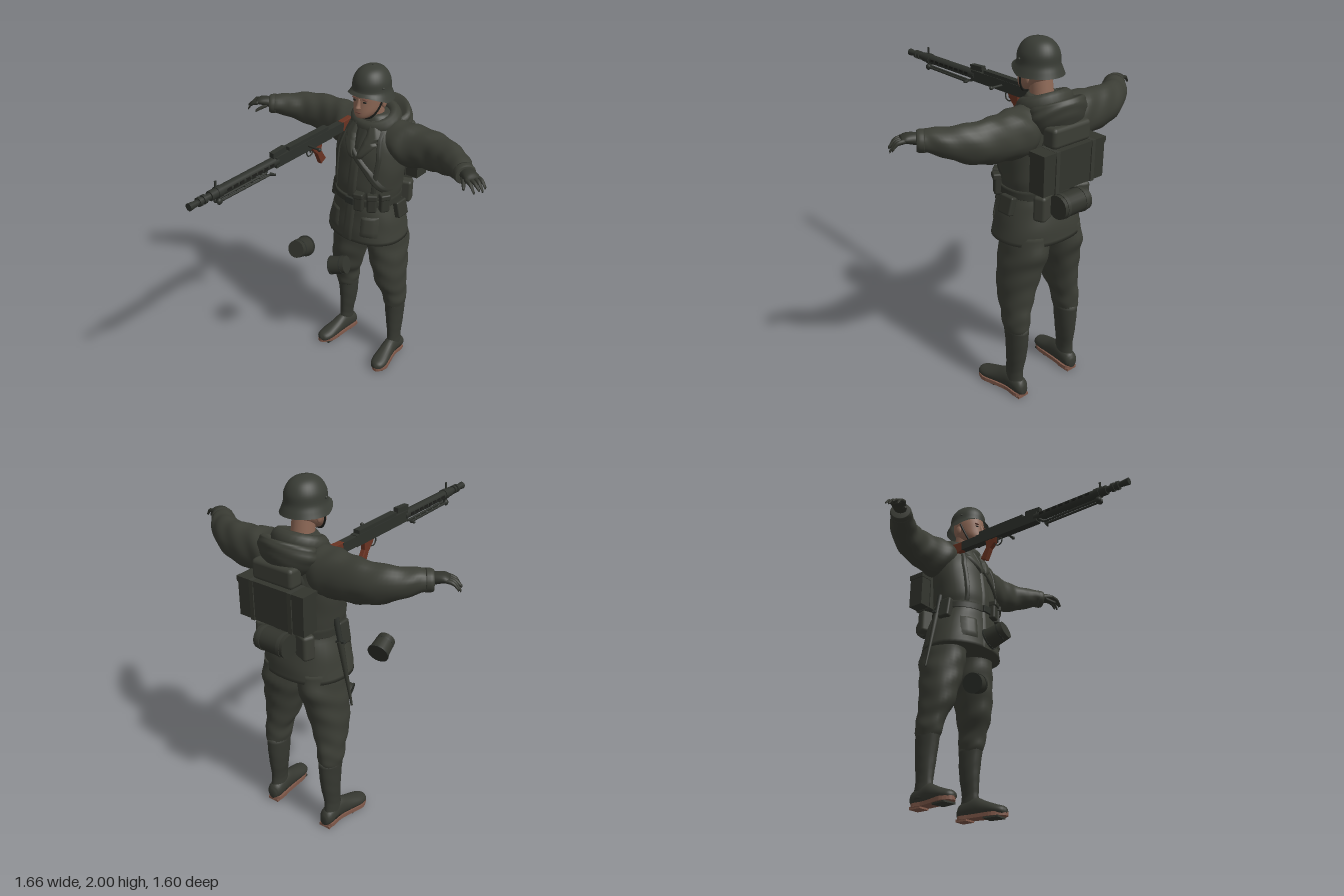
import * as THREE from 'three';
import { RoundedBoxGeometry } from 'three/addons/geometries/RoundedBoxGeometry.js';

const V = (x, y, z) => new THREE.Vector3(x, y, z);
const mat = (name, color) => Object.assign(new THREE.MeshStandardMaterial({ color }), { name });

// Smooth curves through section rows [x, y, z, radiusU, radiusV]
function curves(secs) {
  const curve = (f) => new THREE.CatmullRomCurve3(secs.map(f), false, 'catmullrom', 0.5);
  return [curve((s) => V(s[0], s[1], s[2])), curve((s) => V(s[3], s[4], 0))];
}
const spow = (v, p) => Math.sign(v) * Math.abs(v) ** p;

// Skin over sections: 'up' keeps rings level, 'flat' keeps rings upright across the path
function loft(secs, { mode = 'up', n = 24, m = 4, pow = 1, folds = 0, cap = true } = {}) {
  const [P, R] = curves(secs), rows = (secs.length - 1) * m, pos = [], idx = [];
  for (let i = 0; i <= rows; i++) {
    const t = i / rows, c = P.getPoint(t), r = R.getPoint(t);
    const v = mode === 'up' ? V(0, 0, 1) : V(0, 1, 0);
    const w = P.getTangent(t).setY(0).normalize();
    const u = mode === 'up' ? V(1, 0, 0) : w.cross(v).normalize();
    for (let j = 0; j < n; j++) {
      const a = (j / n) * Math.PI * 2;
      const k = 1 + folds * (Math.sin(t * 34 + 2 * Math.sin(a * 2 + 1)) + 0.6 * Math.sin(a * 5 + t * 9));
      const p = c.clone().addScaledVector(u, r.x * k * spow(Math.cos(a), pow)).addScaledVector(v, r.y * k * spow(Math.sin(a), pow));
      pos.push(p.x, p.y, p.z);
      if (i < rows) {
        const A = i * n + j, B = i * n + (j + 1) % n;
        idx.push(A, A + n, B, B, A + n, B + n);
      }
    }
  }
  if (cap) {
    const c0 = pos.length / 3, a = P.getPoint(0), b = P.getPoint(1), last = rows * n;
    pos.push(a.x, a.y, a.z, b.x, b.y, b.z);
    for (let j = 0; j < n; j++) {
      const k = (j + 1) % n;
      idx.push(c0, j, k, c0 + 1, last + k, last + j);
    }
  }
  const g = new THREE.BufferGeometry();
  g.setAttribute('position', new THREE.Float32BufferAttribute(pos, 3));
  g.setIndex(idx);
  g.computeVertexNormals();
  return g;
}

const TORSO = [
  [0, 0.95, -0.49, 0.25, 0.208], [0, 1.05, -0.49, 0.235, 0.198], [0, 1.15, -0.485, 0.207, 0.183],
  [0, 1.22, -0.48, 0.192, 0.168], [0, 1.30, -0.478, 0.207, 0.168], [0, 1.42, -0.487, 0.218, 0.16],
  [0, 1.52, -0.50, 0.215, 0.153], [0, 1.60, -0.52, 0.19, 0.138], [0, 1.67, -0.525, 0.135, 0.108], [0, 1.72, -0.52, 0.085, 0.08],
];
const TP = 0.9;

export function createModel() {
  const root = new THREE.Group();
  const cloth = mat('field cloth', 0x3b3d35), gear = mat('dark gear', 0x32342d), boot = mat('boot leather', 0x363831);
  const steel = mat('gun steel', 0x2d302b), shell = mat('helmet paint', 0x393c35), skin = mat('skin', 0x8c6755);
  const lip = mat('lips', 0x70483d), wood = mat('red wood', 0x6a3322), soleM = mat('sole', 0x80594a), black = mat('near black', 0x1d1e1b);
  cloth.side = shell.side = gear.side = THREE.DoubleSide;

  const add = (name, geo, m, parent = root, p = [0, 0, 0], r = [0, 0, 0]) => {
    const o = new THREE.Mesh(geo, m);
    o.name = name; o.position.set(...p); o.rotation.set(...r);
    parent.add(o);
    return o;
  };
  const group = (name, parent = root) => { const g = new THREE.Group(); g.name = name; parent.add(g); return g; };
  const box = (name, m, p, s, parent = root, r) => add(name, new THREE.BoxGeometry(...s), m, parent, p, r);
  const soft = (name, m, p, s, parent = root, r) => add(name, new RoundedBoxGeometry(...s, 2, Math.min(...s) * 0.25), m, parent, p, r);
  const ball = (name, m, p, s, parent = root) => { const o = add(name, new THREE.SphereGeometry(1, 16, 10), m, parent, p); o.scale.set(...s); return o; };
  // Cylinder from a to b
  const rod = (name, m, a, b, ra, rb = ra, parent = root, seg = 16) => {
    const A = V(...a), B = V(...b), d = B.clone().sub(A);
    const o = add(name, new THREE.CylinderGeometry(rb, ra, d.length(), seg), m, parent);
    o.position.copy(A).add(B).multiplyScalar(0.5);
    o.quaternion.setFromUnitVectors(V(0, 1, 0), d.normalize());
    return o;
  };

  // Cloth patch laid on the jacket: rows of [y, x0, x1]
  const [TC, TR] = curves(TORSO);
  const jacketZ = (x, y, side, off) => {
    let lo = 0, hi = 1;
    for (let i = 0; i < 20; i++) { const t = (lo + hi) / 2; if (TC.getPoint(t).y < y) lo = t; else hi = t; }
    const c = TC.getPoint(lo), r = TR.getPoint(lo), k = Math.min(1, Math.abs(x) / r.x) ** (1 / TP);
    return c.z + side * (r.y * Math.sqrt(1 - k * k) ** TP + off);
  };
  const patch = (name, m, rows, side = 1, lift = 0.011) => {
    const pos = [], idx = [], N = 6, M = (rows.length - 1) * 5;
    for (let i = 0; i <= M; i++) {
      const k = Math.min(rows.length - 2, Math.floor(i / 5)), f = i / 5 - k;
      const [y, x0, x1] = rows[k].map((v, q) => v + (rows[k + 1][q] - v) * f);
      for (let j = 0; j <= N; j++) {
        const x = x0 + ((x1 - x0) * j) / N, rim = i === 0 || i === M || j === 0 || j === N;
        pos.push(x, y, jacketZ(x, y, side, rim ? 0.001 : lift));
        if (i < M && j < N) { const a = i * (N + 1) + j, b = a + N + 1; idx.push(a, b, a + 1, a + 1, b, b + 1); }
      }
    }
    const g = new THREE.BufferGeometry();
    g.setAttribute('position', new THREE.Float32BufferAttribute(pos, 3));
    g.setIndex(idx); g.computeVertexNormals();
    return add(name, g, m);
  };

  // Jacket, collar and hood
  add('jacket', loft(TORSO, { n: 40, m: 5, pow: TP, folds: 0.009 }), cloth);
  patch('frontFlap', cloth, [[1.5, -0.03, 0.03], [1.26, -0.03, 0.035], [1.2, -0.03, 0.035], [0.955, -0.04, 0.03]], 1, 0.008);
  patch('shirt', gear, [[1.69, -0.05, 0.05], [1.53, -0.012, 0.012]], 1, 0.008);
  for (const s of [-1, 1]) {
    patch('lapel', cloth, [[1.69, s * 0.03, s * 0.075], [1.61, s * 0.035, s * 0.125], [1.585, s * 0.028, s * 0.1], [1.57, s * 0.025, s * 0.115], [1.47, 0, s * 0.03]], 1, 0.016);
    patch('skirtPocket', cloth, [[1.13, s * 0.08, s * 0.17], [1.09, s * 0.08, s * 0.175], [1.0, s * 0.08, s * 0.18]]);
    patch('harnessBack', gear, [[1.65, s * 0.05, s * 0.08], [1.5, s * 0.09, s * 0.12], [1.23, s * 0.09, s * 0.12]], -1);
    patch('harnessFront', gear, [[1.64, s * 0.1, s * 0.125], [1.5, s * 0.13, s * 0.155], [1.24, s * 0.12, s * 0.145]]);
  }
  patch('slingStrap', gear, [[1.57, -0.12, -0.06], [1.42, 0.06, 0.12], [1.3, 0.17, 0.205]], 1, 0.014);
  const ring = add('hoodCollar', new THREE.TorusGeometry(0.102, 0.036, 10, 28), cloth, root, [0, 1.675, -0.525], [Math.PI / 2 + 0.35, 0, 0]);
  ring.scale.set(1.12, 1, 1.3);
  const hood = loft([[0, 1.5, -0.64, 0.07, 0.05], [0, 1.57, -0.645, 0.14, 0.085], [0, 1.63, -0.635, 0.178, 0.11], [0, 1.68, -0.625, 0.172, 0.118],
    [0, 1.705, -0.62, 0.145, 0.1], [0, 1.68, -0.6, 0.1, 0.07], [0, 1.65, -0.59, 0.05, 0.04]], { n: 32, folds: 0.018 });
  const hp = hood.attributes.position;
  for (let i = 0; i < hp.count; i++) {
    const back = Math.max(-0.12, -0.62 - hp.getZ(i));
    hp.setY(i, hp.getY(i) + 0.4 * back);
    hp.setX(i, hp.getX(i) * (1 - Math.max(0, back) * 2.2));
  }
  hood.computeVertexNormals();
  add('hood', hood, cloth);

  // Head
  const head = group('head');
  add('face', loft([[0, 1.715, -0.4, 0.022, 0.03], [0, 1.725, -0.405, 0.045, 0.05], [0, 1.755, -0.43, 0.07, 0.078], [0, 1.8, -0.455, 0.084, 0.099],
    [0, 1.86, -0.465, 0.088, 0.104], [0, 1.93, -0.47, 0.075, 0.09]], { n: 28 }), skin, head);
  add('nose', loft([[0, 1.772, -0.358, 0.012, 0.008], [0, 1.782, -0.354, 0.016, 0.02], [0, 1.8, -0.356, 0.011, 0.014], [0, 1.835, -0.362, 0.008, 0.006]], { n: 12 }), skin, head);
  rod('neck', skin, [0, 1.64, -0.51], [0, 1.79, -0.49], 0.064, 0.06, head, 20);
  ball('mouth', lip, [0, 1.754, -0.357], [0.022, 0.006, 0.008], head);
  for (const s of [-1, 1]) {
    ball('eye', black, [s * 0.033, 1.818, -0.366], [0.014, 0.005, 0.006], head);
    ball('brow', lip, [s * 0.034, 1.834, -0.366], [0.02, 0.005, 0.008], head);
    ball('ear', skin, [s * 0.088, 1.8, -0.475], [0.01, 0.03, 0.02], head);
    add('chinStrap', new THREE.TubeGeometry(new THREE.CatmullRomCurve3([V(s * 0.1, 1.835, -0.45), V(s * 0.08, 1.765, -0.425), V(s * 0.045, 1.718, -0.41), V(0, 1.708, -0.4)]), 14, 0.006, 6), black, head);
  }

  // Helmet: the brim sits higher at the front
  const helmet = loft([[0, 1.815, -0.472, 0.13, 0.14], [0, 1.84, -0.472, 0.119, 0.13], [0, 1.872, -0.472, 0.107, 0.118], [0, 1.92, -0.472, 0.102, 0.114],
    [0, 1.962, -0.472, 0.081, 0.093], [0, 1.988, -0.472, 0.05, 0.058], [0, 2, -0.472, 0.004, 0.004]], { n: 36, cap: false });
  const bp = helmet.attributes.position;
  for (let i = 0; i < bp.count; i++) {
    const y = bp.getY(i), f = Math.min(1, Math.max(0, (bp.getZ(i) + 0.45) / 0.1));
    if (y < 1.872) bp.setY(i, y + (1.872 - y) * 0.7 * f);
  }
  helmet.computeVertexNormals();
  add('helmet', helmet, shell, head);
  for (const s of [-1, 1]) ball('helmetRivet', shell, [s * 0.103, 1.895, -0.44], [0.007, 0.007, 0.007], head);

  // Limbs, mirrored
  for (const s of [1, -1]) {
    const arm = group(s > 0 ? 'leftArm' : 'rightArm'), leg = group(s > 0 ? 'leftLeg' : 'rightLeg');
    arm.scale.x = leg.scale.x = s;
    add('sleeve', loft([[0.08, 1.57, -0.52, 0.09, 0.1], [0.16, 1.565, -0.53, 0.118, 0.122], [0.24, 1.56, -0.54, 0.108, 0.128], [0.33, 1.565, -0.547, 0.092, 0.12],
      [0.42, 1.568, -0.54, 0.087, 0.112], [0.51, 1.575, -0.515, 0.08, 0.098], [0.59, 1.587, -0.465, 0.074, 0.075], [0.65, 1.597, -0.415, 0.064, 0.06], [0.69, 1.597, -0.385, 0.055, 0.05]],
    { mode: 'flat', m: 5, folds: 0.03 }), cloth, arm);
    add('cuff', loft([[0.665, 1.597, -0.404, 0.062, 0.058], [0.685, 1.597, -0.389, 0.062, 0.057], [0.697, 1.597, -0.38, 0.056, 0.051]], { mode: 'flat' }), cloth, arm);
    add('palm', loft([[0.67, 1.6, -0.395, 0.034, 0.03], [0.705, 1.61, -0.376, 0.038, 0.03], [0.74, 1.615, -0.357, 0.044, 0.024], [0.765, 1.61, -0.345, 0.04, 0.016]], { mode: 'flat' }), gear, arm);
    const finger = (a, b, c) => add('finger', loft([[...a, 0.011, 0.012], [...b, 0.011, 0.011], [...c, 0.007, 0.008]], { mode: 'flat', n: 8 }), gear, arm);
    for (let i = 0; i < 4; i++) {
      const k = i - 1.5, x = 0.76 - k * 0.009, z = -0.346 + k * 0.022, l = 1 - 0.12 * Math.abs(k);
      finger([x - 0.015, 1.612, z - 0.004], [x + 0.032 * l, 1.604 - i * 0.002, z + 0.008], [x + 0.064 * l, 1.576 - (i % 2) * 0.012, z + 0.014]);
    }
    finger([0.695, 1.595, -0.35], [0.72, 1.58, -0.322], [0.738, 1.565, -0.296]);

    add('trouser', loft([[0.19, 0.4, -0.555, 0.052, 0.07], [0.19, 0.45, -0.55, 0.066, 0.088], [0.186, 0.52, -0.543, 0.069, 0.095], [0.17, 0.6, -0.523, 0.087, 0.112],
      [0.157, 0.7, -0.518, 0.1, 0.127], [0.138, 0.8, -0.52, 0.114, 0.14], [0.125, 0.9, -0.53, 0.116, 0.155], [0.115, 1, -0.52, 0.11, 0.15]], { n: 28, m: 5, folds: 0.022 }), cloth, leg);
    add('bootShaft', loft([[0.2, 0.05, -0.565, 0.042, 0.066], [0.199, 0.12, -0.557, 0.036, 0.06], [0.197, 0.17, -0.557, 0.037, 0.058], [0.193, 0.24, -0.56, 0.045, 0.065],
      [0.19, 0.33, -0.56, 0.052, 0.073], [0.19, 0.44, -0.555, 0.058, 0.082]], { folds: 0.01 }), boot, leg);
    add('bootFoot', loft([[0.193, 0.05, -0.638, 0.022, 0.028], [0.196, 0.062, -0.61, 0.042, 0.05], [0.2, 0.075, -0.52, 0.042, 0.064], [0.21, 0.06, -0.44, 0.048, 0.048],
      [0.221, 0.046, -0.37, 0.052, 0.036], [0.228, 0.04, -0.325, 0.038, 0.027], [0.23, 0.036, -0.306, 0.01, 0.012]], { mode: 'flat' }), boot, leg);
    const sole = new THREE.Shape();
    sole.setFromPoints(new THREE.SplineCurve([[0.19, 0.637], [0.238, 0.61], [0.238, 0.53], [0.26, 0.44], [0.277, 0.37], [0.25, 0.312], [0.21, 0.312], [0.168, 0.37], [0.162, 0.44], [0.158, 0.53], [0.152, 0.61], [0.19, 0.637]]
      .map(([x, z]) => new THREE.Vector2(x, -z))).getPoints(36));
    add('sole', new THREE.ExtrudeGeometry(sole, { depth: 0.022, bevelEnabled: false }), soleM, leg, [0, 0.032, 0], [Math.PI / 2, 0, 0]);
    box('heel', soleM, [0.195, 0.008, -0.59], [0.07, 0.016, 0.08], leg);
    box('toeTread', boot, [0.217, 0.006, -0.39], [0.085, 0.012, 0.1], leg, [0, 0.13, 0]);
  }

  // Belt and what hangs from it
  add('belt', loft([[0, 1.195, -0.481, 0.202, 0.178], [0, 1.24, -0.479, 0.2, 0.176]], { n: 40, pow: TP }), gear);
  soft('buckle', steel, [0, 1.217, -0.298], [0.06, 0.045, 0.016]);
  for (let i = 0; i < 3; i++) {
    const a = 0.3 + i * 0.36, p = [0.215 * Math.sin(a), 1.232, -0.485 + 0.19 * Math.cos(a)];
    soft('ammoPouch', gear, p, [0.058, 0.115, 0.05], root, [0, a, 0]);
    soft('pouchFlap', gear, [p[0] * 1.02, 1.275, p[2] + 0.004], [0.062, 0.035, 0.056], root, [0, a, 0]);
  }
  soft('holsterPouch', gear, [0.222, 1.16, -0.5], [0.04, 0.1, 0.09], root, [0, 0, 0.25]);
  soft('sidePouch', gear, [-0.2, 1.19, -0.45], [0.05, 0.13, 0.08], root, [0, 0, -0.15]);
  rod('bayonetSheath', gear, [-0.297, 0.8, -0.5], [-0.225, 1.16, -0.5], 0.006, 0.019, root, 10);
  rod('bayonetGrip', steel, [-0.225, 1.16, -0.5], [-0.2, 1.29, -0.5], 0.014, 0.017, root, 10);
  box('bayonetGuard', steel, [-0.226, 1.16, -0.5], [0.06, 0.012, 0.022], root, [0, 0, -0.2]);

  // Load on the back
  const pack = group('backLoad');
  box('ammoBox', gear, [0.008, 1.395, -0.705], [0.425, 0.215, 0.1], pack);
  box('ammoBoxLid', gear, [0.008, 1.49, -0.705], [0.435, 0.03, 0.108], pack);
  for (const x of [-0.12, 0.13]) box('ammoBoxStrap', boot, [x, 1.395, -0.705], [0.025, 0.222, 0.112], pack);
  soft('blanketRoll', cloth, [0.01, 1.56, -0.695], [0.26, 0.11, 0.09], pack);
  rod('canteen', gear, [-0.09, 1.19, -0.735], [0.1, 1.19, -0.735], 0.064, 0.064, pack, 20);
  for (const x of [-0.06, 0.07]) rod('canteenBand', boot, [x - 0.01, 1.19, -0.735], [x + 0.01, 1.19, -0.735], 0.067, 0.067, pack, 20);
  for (const s of [-1, 1]) soft('breadBag', cloth, [s * 0.13, 1.18, -0.665], [0.1, 0.14, 0.07], pack, [0, s * 0.35, 0]);

  // Mess tins
  const tin = (name, a, b, ra, rb) => {
    const g = group(name), A = V(...a), B = V(...b), at = (t) => A.clone().lerp(B, t).toArray();
    rod('tinBody', gear, a, b, ra, rb, g, 24);
    rod('tinRim', steel, at(-0.02), at(0.06), ra + 0.004, ra + 0.004, g, 24);
    rod('tinBand', steel, at(0.68), at(0.76), rb + 0.003, rb + 0.003, g, 24);
  };
  tin('frontTin', [-0.193, 0.902, -0.122], [-0.176, 0.94, -0.014], 0.06, 0.052);
  tin('thighTin', [-0.125, 0.7, -0.29], [-0.03, 0.73, -0.32], 0.056, 0.056);

  // Machine gun, pointing forward
  const gun = group('machineGun');
  gun.position.set(-0.14, 1.622, 0);
  const gr = (name, m, z0, z1, r0, r1 = r0, x = 0, y = 0) => rod(name, m, [x, y, z0], [x, y, z1], r0, r1, gun);
  gr('barrelJacket', steel, 0.17, 0.66, 0.027);
  gr('jacketCollar', steel, 0.585, 0.615, 0.031);
  gr('muzzleNut', steel, 0.66, 0.74, 0.018);
  for (const z of [0.69, 0.72]) gr('muzzleRing', steel, z, z + 0.018, 0.025);
  gr('muzzleCone', steel, 0.74, 0.8, 0.015, 0.021);
  for (let i = 0; i < 8; i++) for (const s of [-1, 1]) box('coolingSlot', black, [s * 0.026, 0.002, 0.23 + i * 0.045], [0.006, 0.014, 0.03], gun);
  box('frontSight', steel, [0, 0.045, 0.615], [0.006, 0.045, 0.012], gun);
  box('receiver', steel, [0, -0.002, -0.04], [0.044, 0.062, 0.46], gun);
  box('feedCover', steel, [0, 0.037, -0.08], [0.038, 0.024, 0.33], gun);
  box('rearSight', steel, [0, 0.045, 0.155], [0.03, 0.03, 0.1], gun, [0.06, 0, 0]);
  box('rearReceiver', steel, [0, -0.002, -0.32], [0.04, 0.056, 0.12], gun);
  rod('cockingHandle', steel, [0.02, 0, -0.07], [0.095, 0, -0.07], 0.007, 0.007, gun, 8);
  ball('cockingKnob', steel, [0.098, 0, -0.07], [0.011, 0.011, 0.011], gun);
  const side = (pts, d) => new THREE.ExtrudeGeometry(new THREE.Shape(pts.map((p) => new THREE.Vector2(...p))), { depth: d, bevelEnabled: true, bevelSize: 0.004, bevelThickness: 0.004, bevelSegments: 2 });
  add('stock', side([[0.375, 0.024], [0.48, 0.03], [0.5, -0.06], [0.375, -0.026]], 0.028), wood, gun, [0.014, 0, 0], [0, Math.PI / 2, 0]).position.x = -0.014;
  add('pistolGrip', side([[0.115, -0.035], [0.19, -0.035], [0.187, -0.08], [0.225, -0.14], [0.19, -0.157], [0.16, -0.09], [0.13, -0.06]], 0.022), wood, gun, [-0.011, 0, 0], [0, Math.PI / 2, 0]);
  add('triggerGuard', new THREE.TorusGeometry(0.026, 0.004, 6, 20), steel, gun, [0, -0.058, -0.105], [0, Math.PI / 2, 0]);
  box('trigger', steel, [0, -0.05, -0.11], [0.006, 0.03, 0.008], gun);
  for (const s of [-1, 1]) {
    rod('bipodLeg', steel, [s * 0.012, -0.054, 0.24], [s * 0.012, -0.05, 0.6], 0.007, 0.007, gun, 8);
    rod('bipodFoot', steel, [s * 0.014, -0.05, 0.235], [s * 0.045, -0.048, 0.225], 0.01, 0.006, gun, 8);
    ball('bipodHinge', steel, [s * 0.012, -0.05, 0.605], [0.012, 0.018, 0.018], gun);
  }
  box('bipodMount', steel, [0, -0.035, 0.605], [0.02, 0.03, 0.02], gun);
  return root;
}
